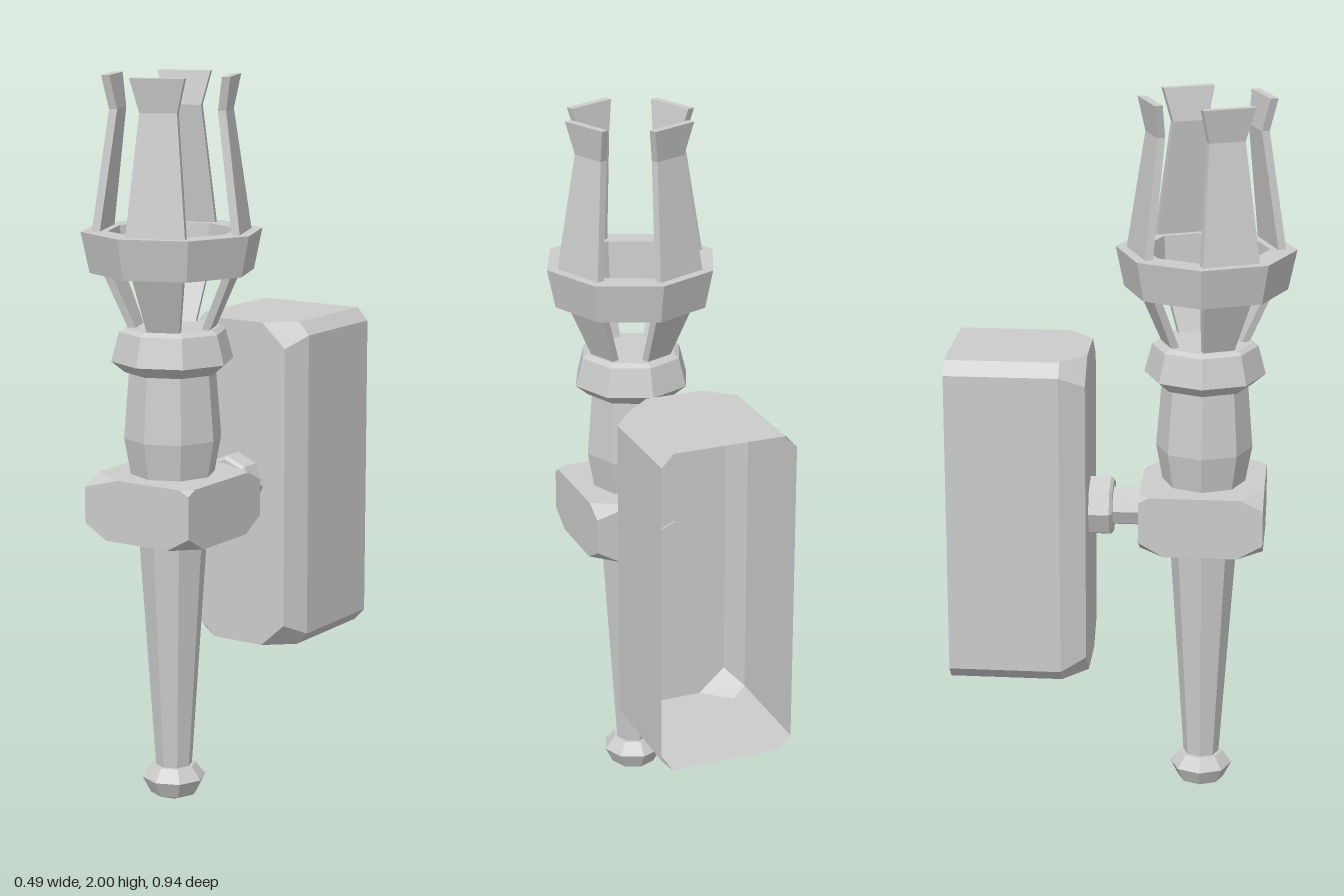
import * as THREE from 'three';
import { ConvexGeometry } from 'three/addons/geometries/ConvexGeometry.js';

const AXIS_Z = 0.225; // the torch stands in front of the wall box
const mat = new THREE.MeshStandardMaterial({ color: 0xcccccc, flatShading: true });
const openMat = new THREE.MeshStandardMaterial({ color: 0xcccccc, flatShading: true, side: THREE.DoubleSide });

function add(parent, name, geometry, material = mat) {
  const mesh = new THREE.Mesh(geometry, material);
  mesh.name = name;
  parent.add(mesh);
  return mesh;
}

// Eight-sided turned part from [radius, height] pairs, bottom to top
function turned(profile) {
  return new THREE.LatheGeometry(profile.map(([r, y]) => new THREE.Vector2(r, y)), 8);
}

// Skin consecutive loops of points (counter-clockwise seen from the last loop)
function loft(loops, capStart, capEnd) {
  const n = loops[0].length;
  const index = [];
  for (let l = 0; l < loops.length - 1; l++) {
    for (let i = 0; i < n; i++) {
      const a = l * n + i, b = l * n + (i + 1) % n;
      index.push(a, b, b + n, a, b + n, a + n);
    }
  }
  const last = (loops.length - 1) * n;
  for (let i = 1; i < n - 1; i++) {
    if (capStart) index.push(0, i + 1, i);
    if (capEnd) index.push(last, last + i, last + i + 1);
  }
  const g = new THREE.BufferGeometry();
  g.setAttribute('position', new THREE.Float32BufferAttribute(loops.flat(2), 3));
  g.setIndex(index);
  const flat = g.toNonIndexed();
  flat.computeVertexNormals();
  return flat;
}

// Bent plate from [height, outer distance, width] levels
function plate(levels, t) {
  return loft(levels.map(([y, d, w]) => [
    [-w / 2, y, d], [w / 2, y, d], [w / 2, y, d - t], [-w / 2, y, d - t],
  ]), true, true);
}

// Octagonal outline: outer half width/height and the shorter flat half lengths
function octagon(x, y, flatX, flatY, z) {
  const cy = 0.8425;
  return [[x, -flatY], [x, flatY], [flatX, y], [-flatX, y],
    [-x, flatY], [-x, -flatY], [-flatX, -y], [flatX, -y]].map(([px, py]) => [px, cy + py, z]);
}

// Box with every corner cut off
function gripBlock() {
  const pts = [];
  for (const sx of [-1, 1]) for (const sy of [-1, 1]) for (const sz of [-1, 1]) {
    const big = sx * sz < 0;
    const cut = sy < 0 ? [0.07, 0.04, 0.07] : big ? [0.11, 0.03, 0.06] : [0.03, 0.015, 0.03];
    const c = [0.17 * sx, 0.085 * sy, 0.17 * sz];
    const s = [sx, sy, sz];
    for (let a = 0; a < 3; a++) {
      const p = [...c];
      p[a] -= s[a] * cut[a];
      pts.push(new THREE.Vector3(...p));
    }
  }
  return new ConvexGeometry(pts);
}

export function createModel() {
  const model = new THREE.Group();
  model.name = 'wallTorch';

  // Hollow wall box, open at the back
  add(model, 'wallBox', loft([
    octagon(0.19, 0.4625, 0.157, 0.427, -0.47),
    octagon(0.19, 0.4625, 0.157, 0.427, -0.158),
    octagon(0.155, 0.4625, 0.08, 0.395, -0.09),
  ], false, true), openMat);

  // Connector from wall box to grip block
  const connector = add(model, 'connector', turned([
    [0, 0], [0.085, 0], [0.085, 0.062], [0.075, 0.07], [0.055, 0.07], [0.055, 0.16], [0, 0.16],
  ]));
  connector.rotation.x = Math.PI / 2;
  connector.position.set(0, 0.845, -0.095);

  const torch = new THREE.Group();
  torch.name = 'torch';
  torch.position.z = AXIS_Z;
  model.add(torch);

  add(torch, 'knob', turned([[0, 0], [0.065, 0.025], [0.088, 0.07], [0.06, 0.105], [0, 0.105]]));
  add(torch, 'handle', turned([[0, 0.1], [0.05, 0.1], [0.095, 0.77], [0, 0.77]]));
  add(torch, 'gripBlock', gripBlock()).position.y = 0.845;
  add(torch, 'barrel', turned([[0, 0.92], [0.113, 0.92], [0.133, 1.03], [0.118, 1.215], [0, 1.215]]));
  add(torch, 'collar', turned([[0, 1.21], [0.13, 1.21], [0.166, 1.24], [0.145, 1.32], [0.13, 1.33], [0, 1.33]]));

  // Hollow crown ring
  add(torch, 'crownRing', turned([
    [0.165, 1.48], [0.222, 1.48], [0.245, 1.59], [0.172, 1.59], [0.165, 1.48],
  ]));

  // Four struts below the ring and four flared prongs above it
  for (let i = 0; i < 4; i++) {
    const side = new THREE.Group();
    side.name = 'crownSide' + (i + 1);
    side.rotation.y = Math.PI / 8 + i * Math.PI / 2;
    torch.add(side);
    add(side, 'strut', plate([[1.32, 0.108, 0.085], [1.49, 0.178, 0.14]], 0.022));
    add(side, 'prong', plate([[1.585, 0.2, 0.16], [1.91, 0.157, 0.1], [2, 0.172, 0.145]], 0.022));
  }
  return model;
}
